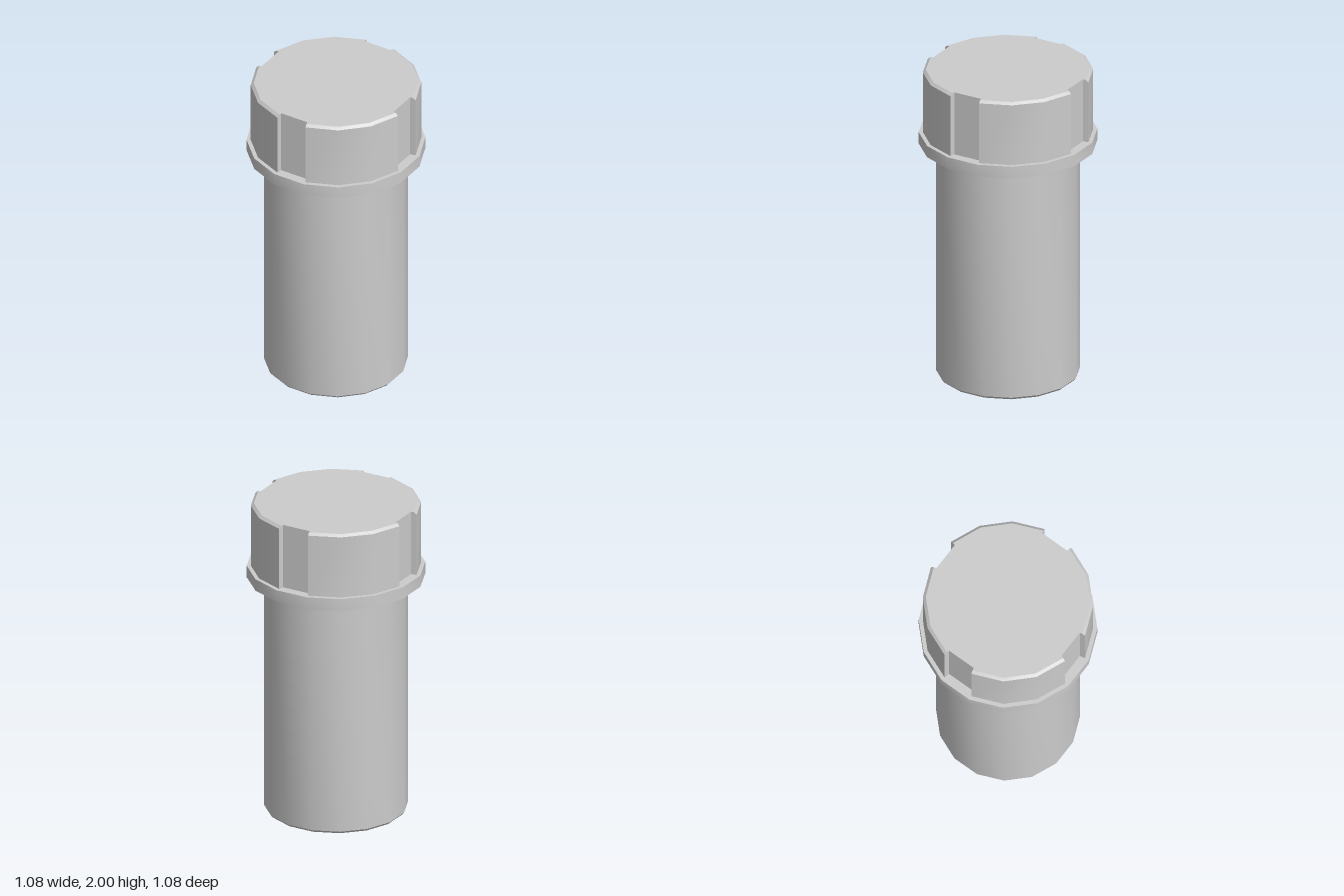
import * as THREE from 'three';
import { toCreasedNormals } from 'three/addons/utils/BufferGeometryUtils.js';

const SIDES = 16;
const CREASE = 0.5;
const material = new THREE.MeshStandardMaterial({ color: 0xcccccc });

function addPart(group, name, geometry) {
  const mesh = new THREE.Mesh(toCreasedNormals(geometry, CREASE), material);
  mesh.name = name;
  group.add(mesh);
}

// 16-sided solid turned from [radius, y] pairs, bottom to top
function turned(profile) {
  return new THREE.LatheGeometry(profile.map(([r, y]) => new THREE.Vector2(r, y)), SIDES);
}

// Cap: 16-gon whose every fourth facet is recessed, with a bevelled top rim
function capGeometry() {
  const step = (Math.PI * 2) / SIDES;
  const outline = []; // [angle, recessed]
  for (let k = 0; k < SIDES; k++) {
    const recessed = k % 4 === 0;
    outline.push([k * step, recessed]);
    // duplicate corners beside a recess make its radial walls
    if (recessed || k % 4 === 3) outline.push([(k + 1) * step, recessed]);
  }
  const rings = [[0.515, 1.58], [0.515, 1.985], [0.497, 2]];
  const positions = [];
  for (const [radius, y] of rings) {
    for (const [a, recessed] of outline) {
      const r = recessed ? 0.48 : radius;
      positions.push(Math.sin(a) * r, y, Math.cos(a) * r);
    }
  }
  positions.push(0, 2, 0);

  const n = outline.length;
  const centre = rings.length * n;
  const index = [];
  for (let i = 0; i < n; i++) {
    const j = (i + 1) % n;
    for (let k = 0; k < rings.length - 1; k++) {
      const lo = k * n, hi = lo + n;
      index.push(lo + i, lo + j, hi + j, lo + i, hi + j, hi + i);
    }
    index.push(2 * n + i, 2 * n + j, centre);
  }
  const geometry = new THREE.BufferGeometry();
  geometry.setAttribute('position', new THREE.Float32BufferAttribute(positions, 3));
  geometry.setIndex(index);
  return geometry;
}

export function createModel() {
  const group = new THREE.Group();
  group.name = 'cappedContainer';

  // Long body with a small bevel at the foot
  addPart(group, 'body', turned([[0, 0], [0.422, 0], [0.435, 0.015], [0.435, 1.49]]));
  // Narrow step under the flange
  addPart(group, 'neckRing', turned([[0.42, 1.475], [0.46, 1.475], [0.46, 1.53]]));
  // Wide flange below the cap
  addPart(group, 'flange', turned([[0.42, 1.515], [0.54, 1.515], [0.54, 1.59], [0.4, 1.59]]));
  addPart(group, 'cap', capGeometry());

  return group;
}
